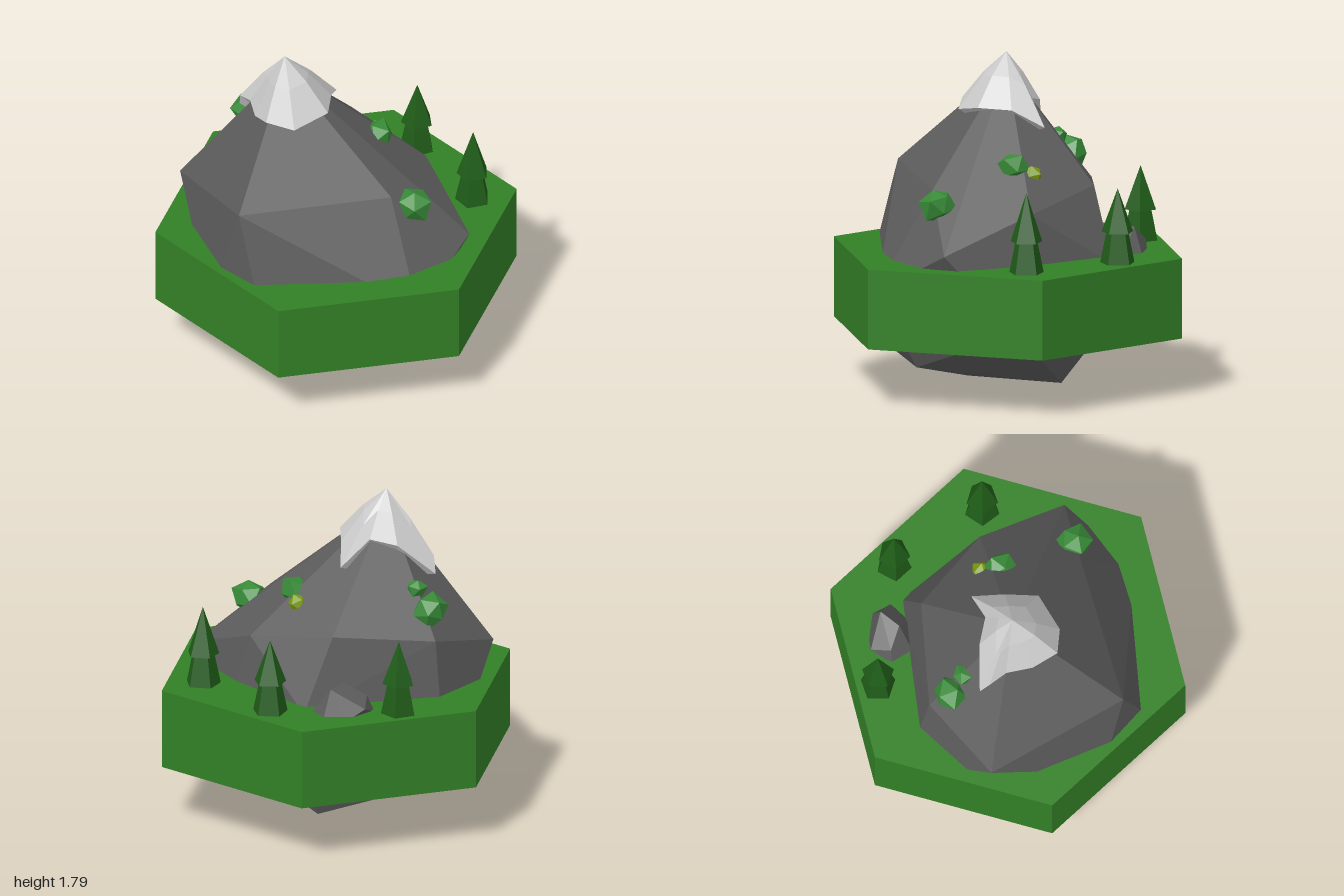
import * as THREE from 'three';
import { ConvexGeometry } from 'three/addons/geometries/ConvexGeometry.js';

const mat = (color) => new THREE.MeshStandardMaterial({ color, flatShading: true });
const stone = mat(0x5c5c5c), grass = mat(0x338026), snow = mat(0xcccccc);
const pine = mat(0x1f5c18), leaf = mat(0x378a37), lime = mat(0x7a9a10);

function add(parent, name, geometry, material, x = 0, y = 0, z = 0) {
  const mesh = new THREE.Mesh(geometry, material);
  mesh.name = name;
  mesh.position.set(x, y, z);
  parent.add(mesh);
  return mesh;
}

const vectors = (list) => list.map((p) => new THREE.Vector3(...p));

// Faceted snow: apex, raised middle ring, ragged hem, and a lip tucked into the rock
function snowGeometry(apex, hem) {
  const core = new THREE.Vector3(apex.x, 1.3, apex.z);
  const middle = hem.map((p) => {
    const m = p.clone().lerp(apex, 0.5);
    m.y += 0.02;
    return m;
  });
  const lip = hem.map((p) => p.clone().lerp(core, 0.3));
  const out = [];
  const tri = (...ps) => ps.forEach((p) => out.push(p.x, p.y, p.z));
  for (let i = 0; i < hem.length; i++) {
    const j = (i + 1) % hem.length;
    tri(apex, middle[i], middle[j]);
    for (const [a, b] of [[middle, hem], [hem, lip]]) {
      tri(a[i], b[i], b[j]);
      tri(a[i], b[j], a[j]);
    }
  }
  const g = new THREE.BufferGeometry();
  g.setAttribute('position', new THREE.Float32BufferAttribute(out, 3));
  g.computeVertexNormals();
  return g;
}

// Irregular rounded lump: twelve icosahedron corners pushed in or out by a rule
function lumpGeometry(r, seed) {
  const t = (1 + Math.sqrt(5)) / 2, pts = [];
  for (const a of [-1, 1]) for (const b of [-t, t]) {
    pts.push([0, a, b], [a, b, 0], [b, 0, a]);
  }
  return new ConvexGeometry(vectors(pts).map((p, i) =>
    p.setLength(r * (1 + 0.14 * Math.sin(i * 2.7 + seed * 5)))
      .applyEuler(new THREE.Euler(seed, seed * 1.7, 0))));
}

export function createModel() {
  const model = new THREE.Group();
  model.name = 'mountainIsland';

  add(model, 'hexagonalGround', new THREE.CylinderGeometry(1, 1, 0.44, 6), grass, 0, 0.54, 0);

  // Mountain running down through the ground
  add(model, 'mountain', new ConvexGeometry(vectors([
    [-0.26, 1.71, 0.1], [-0.31, 1.15, 0.74], [0.41, 1.13, 0.29], [0.42, 1.03, -0.28],
    [-0.07, 1.12, -0.47], [-0.6, 1.06, -0.27], [-0.84, 0.94, 0.15], [0.79, 0.84, 0.09],
    [0.64, 0.6, 0.53], [0.06, 0.72, -0.62], [0.6, 0.4, -0.27], [-0.5, 0.5, 0.68],
    [-0.07, 0.29, 0.89], [-0.68, 0.3, -0.38], [0.47, 0.16, 0.36], [0.04, 0.04, -0.32],
    [-0.2, 0, 0.3],
  ])), stone);

  add(model, 'snowCap', snowGeometry(new THREE.Vector3(-0.26, 1.79, 0.1), vectors([
    [-0.28, 1.52, 0.36], [-0.13, 1.48, 0.33], [0.01, 1.52, 0.17], [-0.03, 1.51, -0.01],
    [-0.06, 1.42, -0.19], [-0.2, 1.55, -0.07], [-0.35, 1.52, -0.06], [-0.55, 1.35, 0],
    [-0.53, 1.44, 0.05], [-0.45, 1.47, 0.12], [-0.38, 1.47, 0.25],
  ])), snow);

  add(model, 'boulder', new ConvexGeometry(vectors([
    [-0.32, 0.74, -0.56], [-0.29, 0.8, -0.69], [-0.07, 0.74, -0.75], [0.02, 0.74, -0.66],
    [-0.05, 0.74, -0.53], [-0.22, 0.74, -0.47], [-0.1, 0.9, -0.69], [-0.15, 0.9, -0.57],
    [-0.28, 0.84, -0.58], [-0.2, 0.74, -0.73],
  ])), stone);

  // Pine trees: five-sided skirt with a pointed top
  const trees = [[-0.46, -0.6, 1.17, 0.6], [0.23, -0.71, 1.17, 0.1], [0.67, -0.34, 1.2, 0]];
  for (const [x, z, top, turn] of trees) {
    const tree = new THREE.Group();
    tree.name = 'pineTree';
    tree.position.set(x, 0.75, z);
    tree.rotation.y = turn;
    const h = top - 0.93;
    add(tree, 'lowerBranches', new THREE.CylinderGeometry(0.05, 0.1, 0.24, 5), pine, 0, 0.12, 0);
    add(tree, 'upperBranches', new THREE.ConeGeometry(0.09, h, 5), pine, 0, 0.18 + h / 2, 0);
    model.add(tree);
  }

  // Bushes growing on the slopes
  const bushes = [
    [-0.55, 1.2, -0.17, 0.1, leaf], [-0.465, 1.3, -0.12, 0.06, leaf],
    [0.2, 1.24, -0.1, 0.09, leaf], [0.17, 1.2, -0.2, 0.06, lime],
    [0.52, 1.07, 0.22, 0.1, leaf],
  ];
  bushes.forEach(([x, y, z, r, m], i) => add(model, 'bush', lumpGeometry(r, i + 1), m, x, y, z));

  return model;
}
